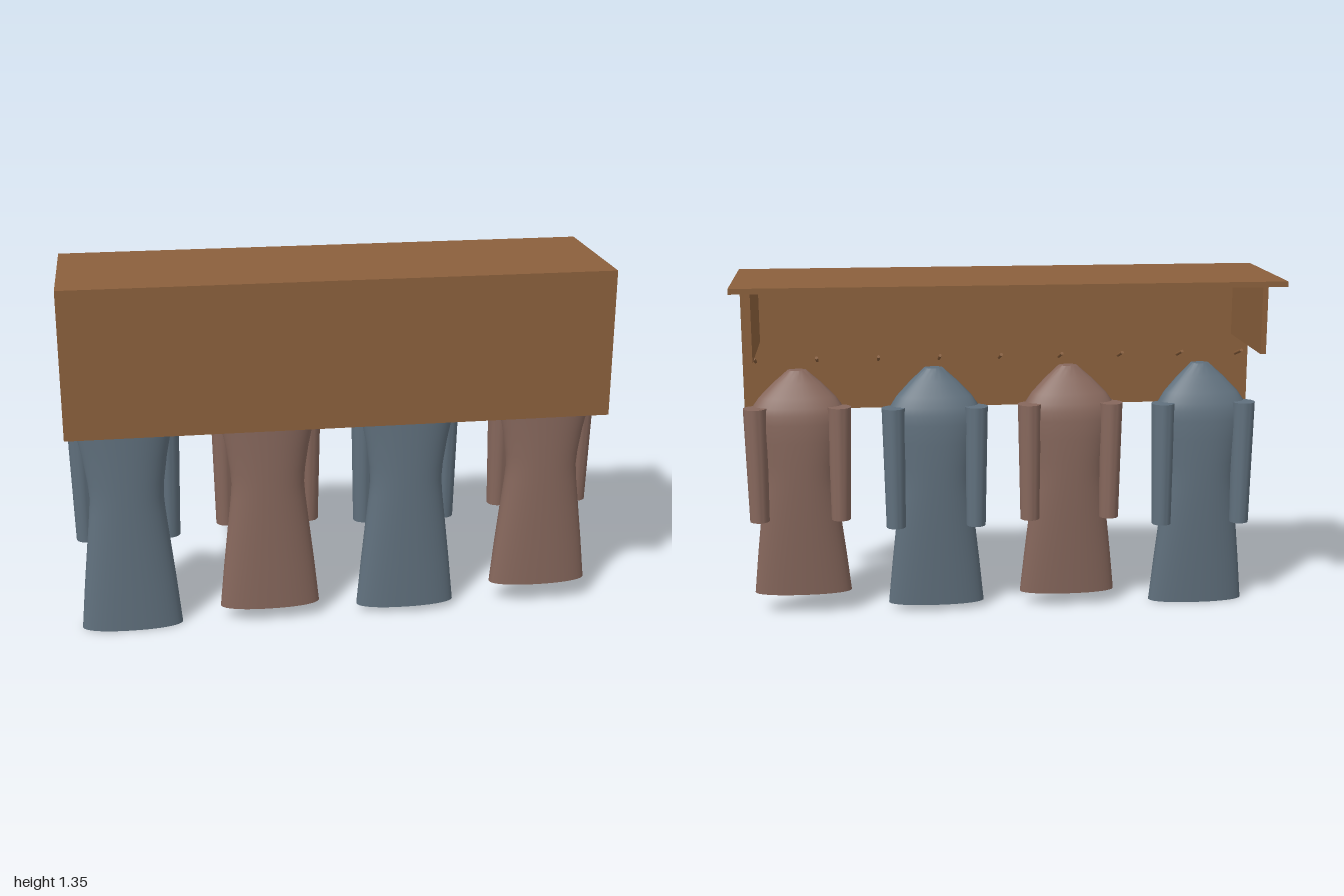
import * as THREE from 'three';
import { toCreasedNormals } from 'three/addons/utils/BufferGeometryUtils.js';

const material = (name, color) => {
  const m = new THREE.MeshStandardMaterial({ color });
  m.name = name;
  return m;
};

// Coat cross-sections from hem to collar: [height fraction, half width, back z]
const COAT_ROWS = [
  [0, 0.19, 0.095], [0.18, 0.173, 0.084], [0.35, 0.155, 0.074], [0.48, 0.141, 0.068],
  [0.54, 0.137, 0.066], [0.6, 0.141, 0.064], [0.7, 0.155, 0.062], [0.78, 0.17, 0.063],
  [0.82, 0.176, 0.068], [0.85, 0.172, 0.077], [0.89, 0.146, 0.096], [0.95, 0.09, 0.133],
  [0.98, 0.057, 0.153], [1, 0.036, 0.165],
];
const COAT_FRONT = 0.21, COAT_TOP = 0.97;

// Rounded tube whose rings follow the rows, with a straight front
function coatBody(height) {
  const last = COAT_ROWS.length - 1;
  const g = new THREE.CylinderGeometry(1, 1, 1, 40, last);
  const p = g.attributes.position;
  const soften = (c) => Math.sign(c) * Math.abs(c) ** 0.9;
  for (let i = 0; i < p.count; i++) {
    const [t, halfWidth, back] = COAT_ROWS[Math.round((p.getY(i) + 0.5) * last)];
    const depth = (COAT_FRONT - back) / 2;
    p.setXYZ(i,
      halfWidth * soften(p.getX(i)),
      COAT_TOP - height * (1 - t),
      back + depth + depth * soften(p.getZ(i)));
  }
  return toCreasedNormals(g, 0.8);
}

// Tapered sleeve hanging beside the body, its back side vertical
function sleeve(height, side) {
  const top = 0.853, bottom = 0.35, back = 0.055;
  const g = new THREE.CylinderGeometry(0.045, 0.0375, 1, 28);
  const p = g.attributes.position;
  for (let i = 0; i < p.count; i++) {
    const k = p.getY(i) + 0.5;
    const t = bottom + (top - bottom) * k;
    const r = 0.0375 + 0.0075 * k;
    p.setXYZ(i,
      p.getX(i) + side * (0.157 + 0.003 * k),
      COAT_TOP - height * (1 - t),
      p.getZ(i) + back + r);
  }
  return toCreasedNormals(g, 0.8);
}

export function createModel() {
  const model = new THREE.Group();
  model.name = 'coatRack';
  const wood = material('wood', 0x8b603c);
  const blue = material('slateCloth', 0x60707d);
  const brown = material('mauveCloth', 0x86675c);

  const add = (parent, name, geometry, mat) => {
    const mesh = new THREE.Mesh(geometry, mat);
    mesh.name = name;
    parent.add(mesh);
    return mesh;
  };
  const board = (name, w, h, d, x, y, z) =>
    add(model, name, new THREE.BoxGeometry(w, h, d), wood).position.set(x, y, z);

  // Shelf, upright board and the two brackets
  board('shelf', 2, 0.02, 0.55, 0, 1.34, 0);
  board('uprightBoard', 2, 0.53, 0.02, 0, 1.065, 0.265);
  for (const side of [-1, 1]) board('bracket', 0.02, 0.26, 0.45, side * 0.94, 1.2, 0.03);

  // Row of tilted pegs
  const base = new THREE.Vector3(0, 0.991, 0.257);
  const tip = new THREE.Vector3(0, 1.021, 0.158);
  const axis = tip.clone().sub(base);
  const pegGeometry = new THREE.CylinderGeometry(0.006, 0.006, axis.length(), 12);
  for (let i = 0; i < 9; i++) {
    const peg = add(model, 'peg', pegGeometry, wood);
    peg.position.copy(base).add(tip).multiplyScalar(0.5);
    peg.position.x = -0.95 + i * 0.2375;
    peg.quaternion.setFromUnitVectors(new THREE.Vector3(0, 1, 0), axis.clone().normalize());
  }

  // Four coats of different lengths, hung at the same height
  [0.97, 0.915, 0.945, 0.885].forEach((height, i) => {
    const coat = new THREE.Group();
    coat.name = 'coat';
    coat.position.x = -0.79 + i * 0.5267;
    const cloth = i % 2 ? brown : blue;
    add(coat, 'coatBody', coatBody(height), cloth);
    for (const side of [-1, 1]) add(coat, 'sleeve', sleeve(height, side), cloth);
    model.add(coat);
  });

  return model;
}
